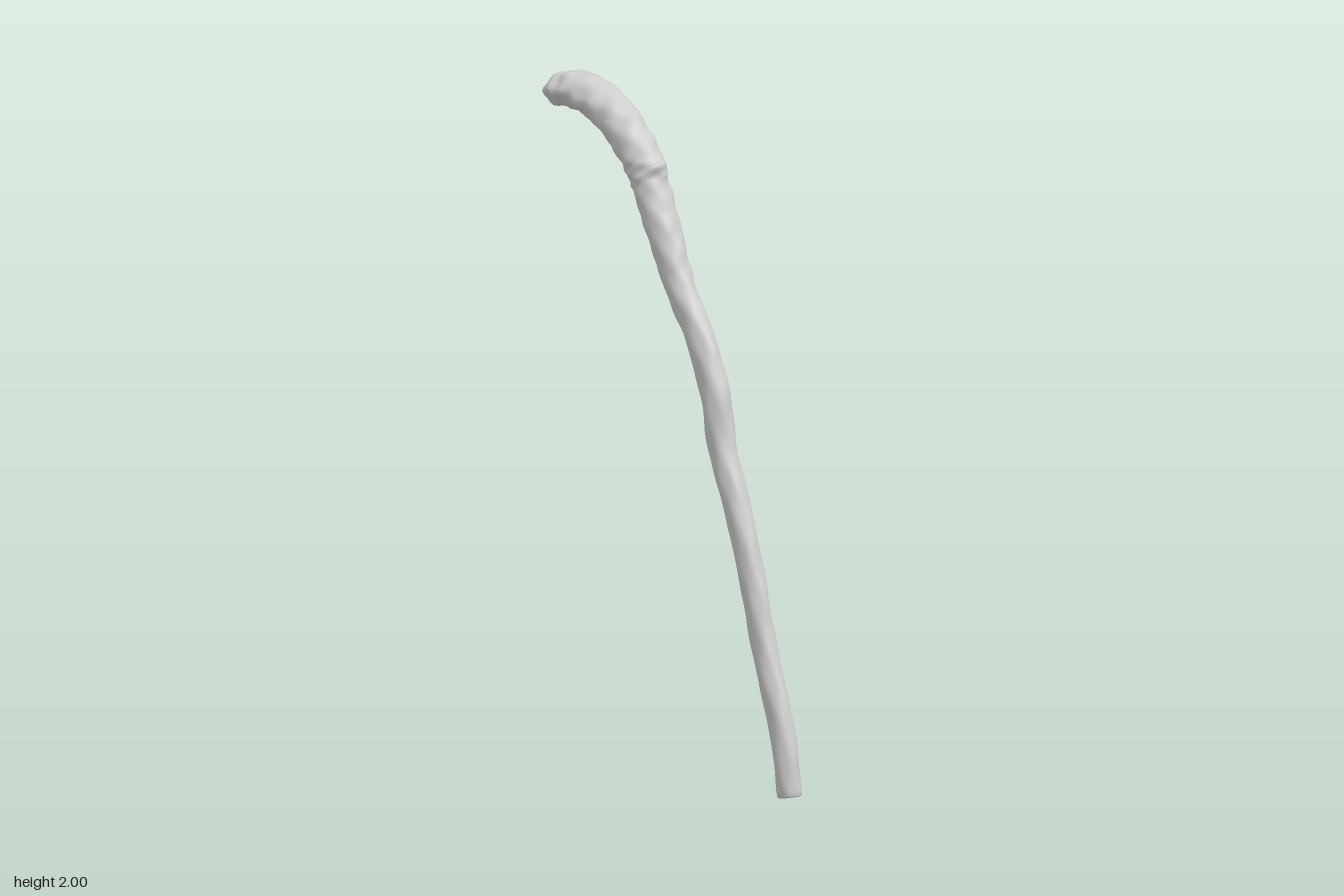
import * as THREE from 'three';

// Stations along the stick: y, z, half width, half depth, lift of the upper side
const STATIONS = [
  [0.005, 0.488, 0.034, 0.037, 0],
  [0.20, 0.450, 0.035, 0.038, 0],
  [0.40, 0.381, 0.036, 0.038, 0],
  [0.60, 0.325, 0.037, 0.040, 0],
  [0.80, 0.260, 0.038, 0.041, 0],
  [0.97, 0.192, 0.040, 0.041, 0],
  [1.15, 0.150, 0.042, 0.044, 0],
  [1.30, 0.080, 0.041, 0.044, 0],
  [1.42, 0.002, 0.043, 0.045, 0],
  [1.52, -0.045, 0.047, 0.048, 0],
  [1.62, -0.090, 0.055, 0.047, 0],
  [1.70, -0.128, 0.057, 0.048, 0],
  [1.735, -0.146, 0.059, 0.052, 0.016],
  [1.77, -0.168, 0.060, 0.054, 0.006],
  [1.835, -0.225, 0.061, 0.056, 0],
  [1.893, -0.300, 0.068, 0.054, 0],
  [1.930, -0.380, 0.077, 0.052, 0],
  [1.944, -0.450, 0.083, 0.052, 0],
  [1.942, -0.503, 0.088, 0.050, 0],
];
const RINGS = 220, SIDES = 32;

// Smooth bark-like relief, periodic around the stick
function relief(t, a) {
  return 0.035 * Math.sin(3 * a + 41 * t) * Math.sin(67 * t + a)
    + 0.025 * Math.sin(5 * a - 90 * t + 1.3)
    + 0.02 * Math.sin(2 * a + 150 * t);
}

function stickGeometry() {
  const path = new THREE.CatmullRomCurve3(STATIONS.map(s => new THREE.Vector3(0, s[0], s[1])));
  const size = new THREE.CatmullRomCurve3(STATIONS.map(s => new THREE.Vector3(s[2], s[3], s[4])));
  const pos = [], index = [];

  // Rounded rims and closing caps: [parameter, scale, push along the stick]
  const rings = [[0, 0, -0.004], [0, 0.5, -0.004], [0, 0.85, -0.003], [0, 0.96, 0]];
  for (let i = 1; i < RINGS; i++) rings.push([i / RINGS, 1, 0]);
  rings.push([1, 0.98, 0], [1, 0.93, 0.006], [1, 0.84, 0.009], [1, 0.5, 0.008], [1, 0, 0.006]);

  for (const [t, k, push] of rings) {
    const c = path.getPoint(t), T = path.getTangent(t), s = size.getPoint(t);
    const N = new THREE.Vector3(0, -T.z, T.y);
    // the handle end is more angular than the shaft
    const angular = THREE.MathUtils.smoothstep(t, 0.8, 1);
    for (let j = 0; j < SIDES; j++) {
      const a = j / SIDES * Math.PI * 2;
      const hex = 1 + angular * 0.05 * Math.cos(6 * a);
      const r = k * hex * (1 + relief(t, a));
      const up = Math.sin(a);
      const depth = s.y * up + s.z * Math.max(0, up) ** 2;
      const p = c.clone().addScaledVector(T, push).addScaledVector(N, depth * r);
      pos.push(s.x * Math.cos(a) * r, Math.max(0, p.y), p.z);
    }
  }
  for (let i = 0; i < rings.length - 1; i++) {
    for (let j = 0; j < SIDES; j++) {
      const a = i * SIDES + j, b = i * SIDES + (j + 1) % SIDES;
      index.push(a, a + SIDES, b, b, a + SIDES, b + SIDES);
    }
  }
  const g = new THREE.BufferGeometry();
  g.setAttribute('position', new THREE.Float32BufferAttribute(pos, 3));
  g.setIndex(index);
  g.computeVertexNormals();
  return g;
}

export function createModel() {
  const group = new THREE.Group();
  group.name = 'walkingStick';
  const stick = new THREE.Mesh(stickGeometry(), new THREE.MeshStandardMaterial({ color: 0xcccccc }));
  stick.name = 'curvedStick';
  group.add(stick);
  return group;
}
